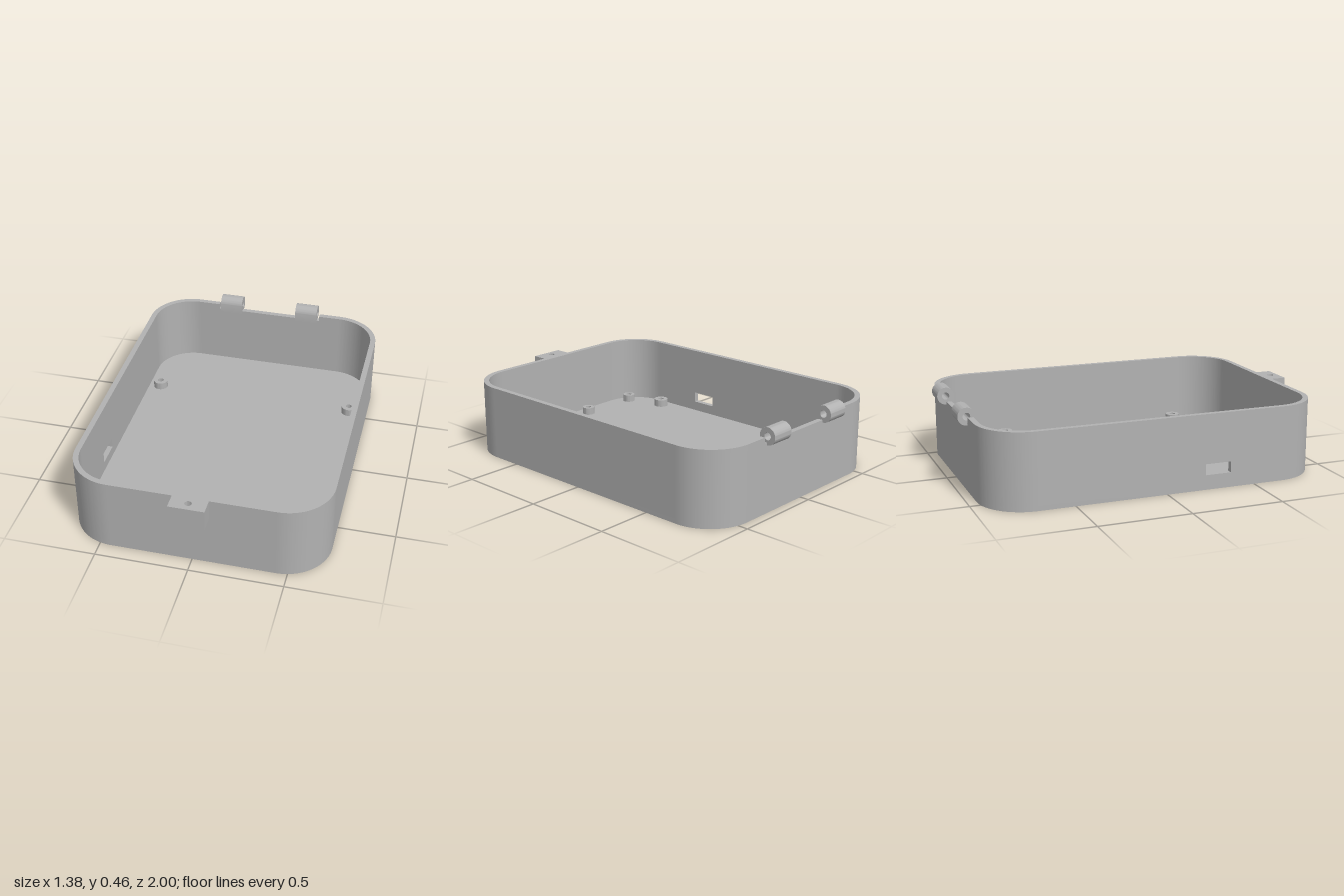
import * as THREE from 'three';
import { toCreasedNormals } from 'three/addons/utils/BufferGeometryUtils.js';

const W = 0.69, ZB = -0.95, ZF = 0.915, H = 0.41; // tray extents
const R = 0.25, T = 0.03, FLOOR = 0.025;          // corner radius, wall, floor

export function createModel() {
  const group = new THREE.Group();
  const grey = new THREE.MeshStandardMaterial({ color: 0xb2b2b2 });
  grey.name = 'grey plastic';

  const add = (name, geo, x = 0, y = 0, z = 0) => {
    const mesh = new THREE.Mesh(toCreasedNormals(geo, 0.6), grey);
    mesh.name = name;
    mesh.position.set(x, y, z);
    group.add(mesh);
    return mesh;
  };
  const extrude = (shape, depth) =>
    new THREE.ExtrudeGeometry(shape, { depth, bevelEnabled: false, curveSegments: 24 });
  const polygon = (pts) => new THREE.Shape(pts.map(([x, y]) => new THREE.Vector2(x, y)));
  const rect = (x0, y0, x1, y1) => polygon([[x0, y0], [x1, y0], [x1, y1], [x0, y1]]);
  const circle = (r, x = 0, y = 0) => new THREE.Path().absarc(x, y, r, 0, Math.PI * 2);
  // Cylinder along z with a through hole
  const ring = (outer, inner, depth) => {
    const s = new THREE.Shape().absarc(0, 0, outer, 0, Math.PI * 2);
    s.holes.push(circle(inner));
    return extrude(s, depth);
  };

  // Floor: rounded rectangle
  const zs = [ZB + R, ZF - R], xs = W - R;
  const base = new THREE.Shape();
  base.absarc(xs, -zs[0], R, 0, Math.PI / 2);
  base.absarc(-xs, -zs[0], R, Math.PI / 2, Math.PI);
  base.absarc(-xs, -zs[1], R, Math.PI, Math.PI * 1.5);
  base.absarc(xs, -zs[1], R, Math.PI * 1.5, Math.PI * 2);
  add('floor', extrude(base, FLOOR).rotateX(-Math.PI / 2));

  // Rounded corner walls
  const quarter = new THREE.Shape();
  quarter.absarc(0, 0, R, 0, Math.PI / 2);
  quarter.absarc(0, 0, R - T, Math.PI / 2, 0, true);
  [[xs, zs[0]], [-xs, zs[0]], [-xs, zs[1]], [xs, zs[1]]].forEach(([x, z], k) => {
    const geo = extrude(quarter, H - FLOOR).rotateX(-Math.PI / 2).rotateY(k * Math.PI / 2);
    add('cornerWall', geo, x, FLOOR, z);
  });

  // Front wall, and back wall with its rim lowered for the hinge
  add('frontWall', extrude(rect(-xs, FLOOR, xs, H), T), 0, 0, ZF - T);
  const n = 0.315, low = H - 0.03;
  add('backWall', extrude(polygon([[-xs, FLOOR], [xs, FLOOR], [xs, H], [n, H],
    [n, low], [-n, low], [-n, H], [-xs, H]]), T), 0, 0, ZB);

  // Side walls, one with a cable window
  const side = () => rect(zs[0], FLOOR, zs[1], H);
  add('leftWall', extrude(side(), T).rotateY(-Math.PI / 2), W);
  const windowed = side();
  windowed.holes.push(rect(0.215, 0.08, 0.36, 0.14));
  add('rightWall', extrude(windowed, T).rotateY(-Math.PI / 2), -W + T);

  // Screw standoffs
  const posts = [[-0.59, -0.51, 0.042], [0.585, -0.51, 0.042], [-0.59, 0.585, 0.042],
    [0.585, 0.585, 0.042], [-0.52, 0.805, 0.036], [-0.16, 0.805, 0.036]];
  for (const [x, z, r] of posts) {
    add('standoff', ring(r, 0.017, 0.042).rotateX(-Math.PI / 2), x, FLOOR, z);
  }

  // Latch block with a pin hole
  const latch = rect(-0.095, -1, 0.095, -ZF);
  latch.holes.push(circle(0.018, 0, -0.955));
  add('latchBlock', extrude(latch, 0.11).rotateX(-Math.PI / 2), 0, 0.30, 0);

  // Hinge knuckles: round outside, squared off below on the inner side
  const knuckle = new THREE.Shape();
  const kr = 0.047;
  knuckle.moveTo(kr, -kr);
  knuckle.lineTo(kr, 0);
  knuckle.absarc(0, 0, kr, 0, Math.PI * 1.5);
  knuckle.holes.push(circle(0.02));
  for (const x of [-0.237, 0.233]) {
    const geo = extrude(knuckle, 0.133).translate(0, 0, -0.0665).rotateY(-Math.PI / 2);
    add('hingeKnuckle', geo, x, 0.413, -0.953);
  }
  return group;
}
